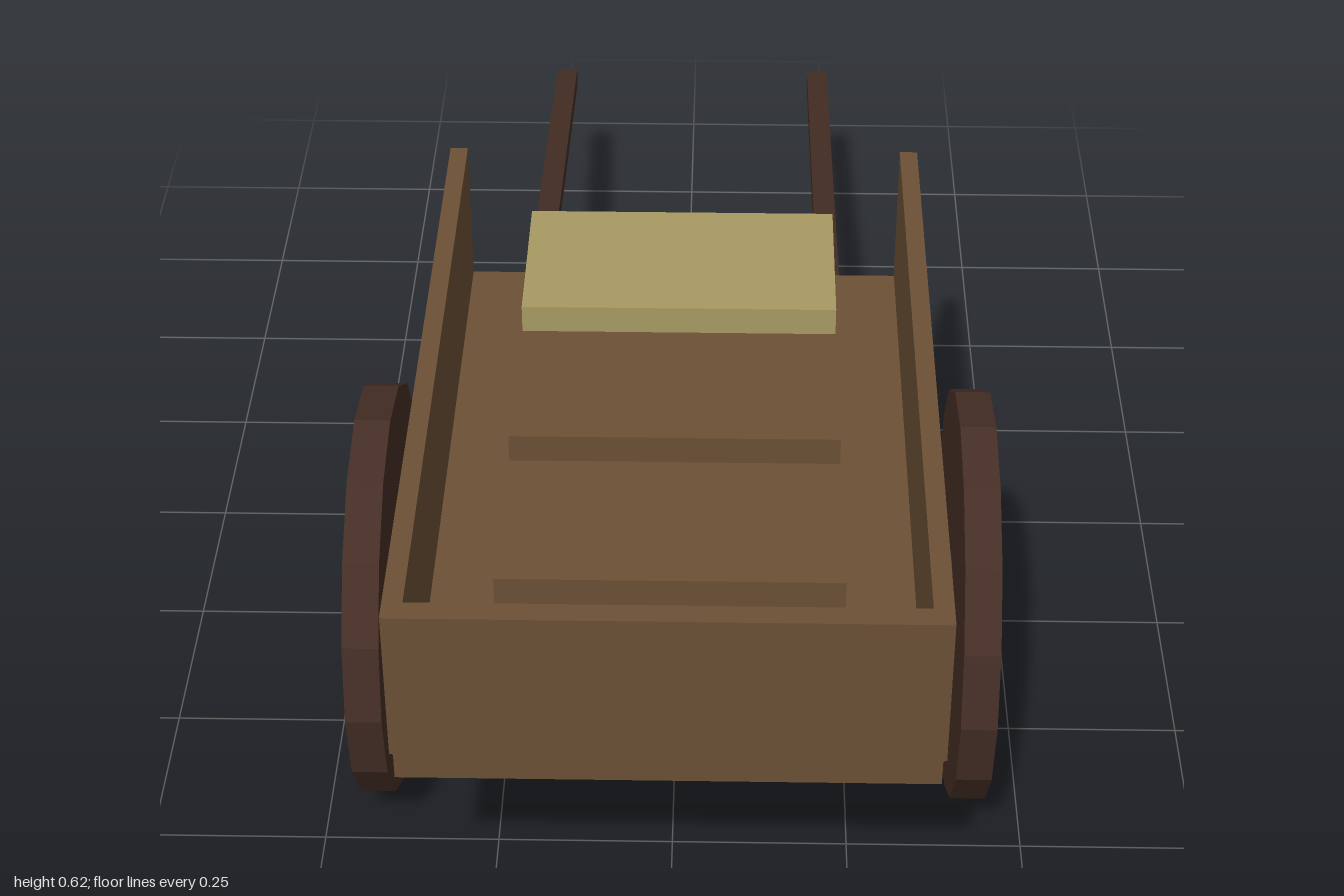
import * as THREE from 'three';

const material = (name, color) => {
  const m = new THREE.MeshStandardMaterial({ color });
  m.name = name;
  return m;
};

export function createModel() {
  const cart = new THREE.Group();
  cart.name = 'handcart';

  const wood = material('brown wood', 0x6b5036);
  const darkWood = material('dark wood', 0x452e25);
  const iron = material('dark iron', 0x35393b);
  const straw = material('straw', 0xa89a63);

  const add = (name, geometry, mat, x, y, z) => {
    const mesh = new THREE.Mesh(geometry, mat);
    mesh.name = name;
    mesh.position.set(x, y, z);
    cart.add(mesh);
    return mesh;
  };

  // Box given by its lower and upper corners
  const box = (name, mat, [x0, y0, z0], [x1, y1, z1]) =>
    add(name, new THREE.BoxGeometry(x1 - x0, y1 - y0, z1 - z0), mat,
      (x0 + x1) / 2, (y0 + y1) / 2, (z0 + z1) / 2);

  // Flat-sided disc lying across x
  const disc = (name, mat, radius, width, x, y, z) => {
    const geometry = new THREE.CylinderGeometry(radius, radius, width, 16).toNonIndexed();
    geometry.rotateZ(Math.PI / 2);
    geometry.computeVertexNormals();
    add(name, geometry, mat, x, y, z);
  };

  // Bed, open at the handle end
  box('floor', wood, [-0.358, 0.352, -0.13], [0.358, 0.395, 0.998]);
  box('frontWall', wood, [-0.359, 0.393, 0.968], [0.359, 0.625, 1.0]);

  // Cargo
  box('crateFront', wood, [-0.23, 0.395, 0.61], [0.23, 0.58, 0.865]);
  box('crateMiddle', wood, [-0.23, 0.395, 0.3], [0.23, 0.58, 0.555]);
  box('strawBale', straw, [-0.23, 0.395, -0.01], [0.23, 0.588, 0.25]);

  // Handle shafts slope down from the bed
  const start = new THREE.Vector2(-0.11, 0.375);
  const end = new THREE.Vector2(-0.998, 0.25);
  const run = end.clone().sub(start);

  for (const [label, side] of [['left', 1], ['right', -1]]) {
    const wall = box(label + 'Wall', wood, [0.336, 0.393, -0.132], [0.363, 0.625, 0.998]);
    wall.position.x *= side;

    disc(label + 'Wheel', darkWood, 0.295, 0.05, side * 0.42, 0.295, 0.535);
    disc(label + 'Hub', iron, 0.061, 0.082, side * 0.42, 0.295, 0.535);

    const handle = add(label + 'Handle', new THREE.BoxGeometry(0.036, 0.031, run.length()), darkWood,
      side * 0.231, (start.y + end.y) / 2, (start.x + end.x) / 2);
    handle.rotation.x = -Math.atan2(run.y, run.x) + Math.PI * (run.x < 0 ? 1 : 0);
  }

  return cart;
}
